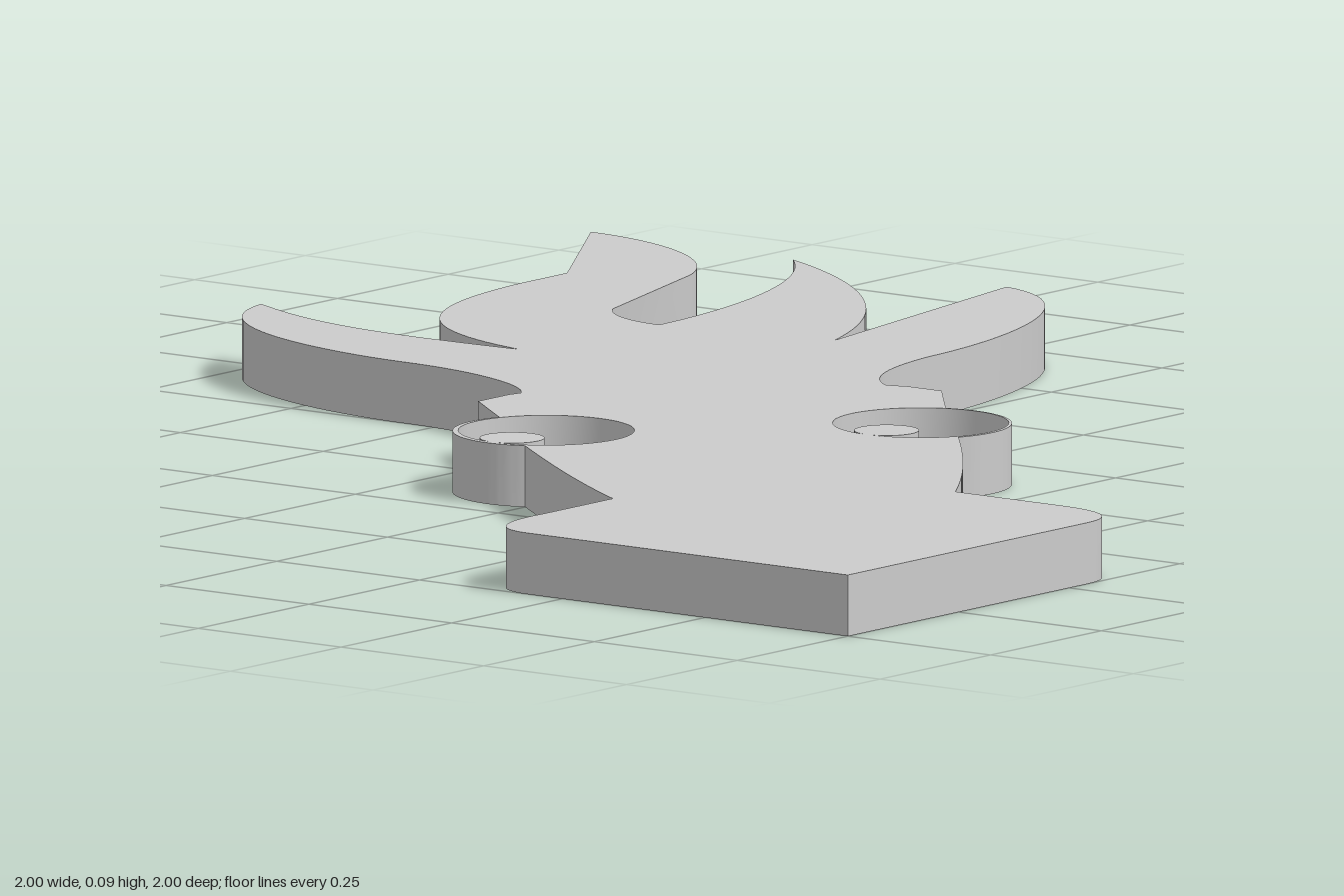
import * as THREE from 'three';
import { mergeGeometries, toCreasedNormals } from 'three/addons/utils/BufferGeometryUtils.js';

const HEIGHT = 0.086;
const EYES = [[-0.323, 0.055], [0.043, -0.317]];
const EYE_R = 0.128;
const material = new THREE.MeshStandardMaterial({ color: 0xcccccc, side: THREE.DoubleSide });

// Upright strip along a line of points
function wall(points) {
  const pos = [];
  for (let i = 0; i < points.length - 1; i++) {
    const a = points[i], b = points[i + 1];
    if (a.distanceTo(b) < 1e-5) continue;
    pos.push(a.x, a.y, 0, b.x, b.y, 0, b.x, b.y, HEIGHT);
    pos.push(a.x, a.y, 0, b.x, b.y, HEIGHT, a.x, a.y, HEIGHT);
  }
  const g = new THREE.BufferGeometry();
  g.setAttribute('position', new THREE.Float32BufferAttribute(pos, 3));
  return toCreasedNormals(g, 0.6);
}

// Hollow tray: a top sheet with walls round the outline and holes, open below
function tray(shape, segments) {
  const { shape: outline, holes } = shape.extractPoints(segments);
  const top = new THREE.ShapeGeometry(shape, segments).toNonIndexed();
  top.deleteAttribute('uv');
  top.translate(0, 0, HEIGHT);
  const closed = (pts) => wall([...pts, pts[0]]);
  return mergeGeometries([top, closed(outline), ...holes.map(closed)]);
}

function addPart(group, name, geometry) {
  geometry.rotateX(-Math.PI / 2); // shape plane lies flat, its up becomes the back
  const mesh = new THREE.Mesh(geometry, material);
  mesh.name = name;
  group.add(mesh);
}

function headShape() {
  const s = new THREE.Shape();
  // base block, front corner
  s.moveTo(-1, -1);
  s.lineTo(-0.46, -1);
  s.bezierCurveTo(-0.39, -1, -0.37, -0.95, -0.37, -0.88);
  s.lineTo(-0.37, -0.7);
  // cheek, eye bulge and brow
  s.quadraticCurveTo(-0.21, -0.6, -0.016, -0.431);
  s.absarc(...EYES[1], EYE_R, -2.05, 0.37, false);
  s.lineTo(0.27, -0.18);
  s.lineTo(0.27, -0.12);
  s.lineTo(0.26, -0.09);
  // four flame-like locks
  s.quadraticCurveTo(0.31, -0.01, 0.48, 0.005);
  s.bezierCurveTo(0.7, 0.01, 0.97, 0.1, 0.997, 0.27);
  s.lineTo(0.505, 0.19);
  s.bezierCurveTo(0.74, 0.27, 0.9, 0.44, 0.992, 0.64);
  s.bezierCurveTo(0.85, 0.5, 0.6, 0.46, 0.457, 0.46);
  s.quadraticCurveTo(0.46, 0.55, 0.52, 0.59);
  s.lineTo(0.805, 0.675);
  s.bezierCurveTo(0.92, 0.72, 1, 0.86, 1, 1);
  s.lineTo(0.714, 0.82);
  s.lineTo(0.61, 0.82);
  s.bezierCurveTo(0.33, 0.81, 0.22, 0.69, 0.18, 0.49);
  s.bezierCurveTo(0.165, 0.72, 0.17, 0.84, 0.255, 1);
  s.bezierCurveTo(0.06, 0.97, 0, 0.69, 0, 0.55);
  s.bezierCurveTo(0, 0.42, -0.05, 0.3, -0.1, 0.27);
  // second brow, eye bulge and cheek
  s.lineTo(-0.12, 0.275);
  s.lineTo(-0.19, 0.275);
  s.absarc(...EYES[0], EYE_R, 1.18, 3.585, false);
  s.quadraticCurveTo(-0.61, -0.21, -0.705, -0.36);
  s.lineTo(-0.86, -0.36);
  s.quadraticCurveTo(-1, -0.35, -1, -0.44);
  s.closePath();
  // eye openings
  for (const [x, y] of EYES) {
    s.holes.push(new THREE.Path().absarc(x + 0.003, y, 0.122, 0, Math.PI * 2, true));
  }
  return s;
}

export function createModel() {
  const model = new THREE.Group();
  model.name = 'flameHairedHead';
  addPart(model, 'head', tray(headShape(), 24));

  // Partition under the sheet between hair and face
  const hairline = new THREE.QuadraticBezierCurve(
    new THREE.Vector2(0.27, -0.18), new THREE.Vector2(-0.03, -0.02), new THREE.Vector2(-0.19, 0.275));
  addPart(model, 'hairlineWall', wall(hairline.getPoints(20)));

  // Small pupils against the outer side of each eye opening
  EYES.forEach(([x, y], i) => {
    const disc = new THREE.Shape().absarc(x - 0.074, y, 0.045, 0, Math.PI * 2, false);
    addPart(model, i ? 'leftPupil' : 'rightPupil', tray(disc, 24));
  });
  return model;
}
